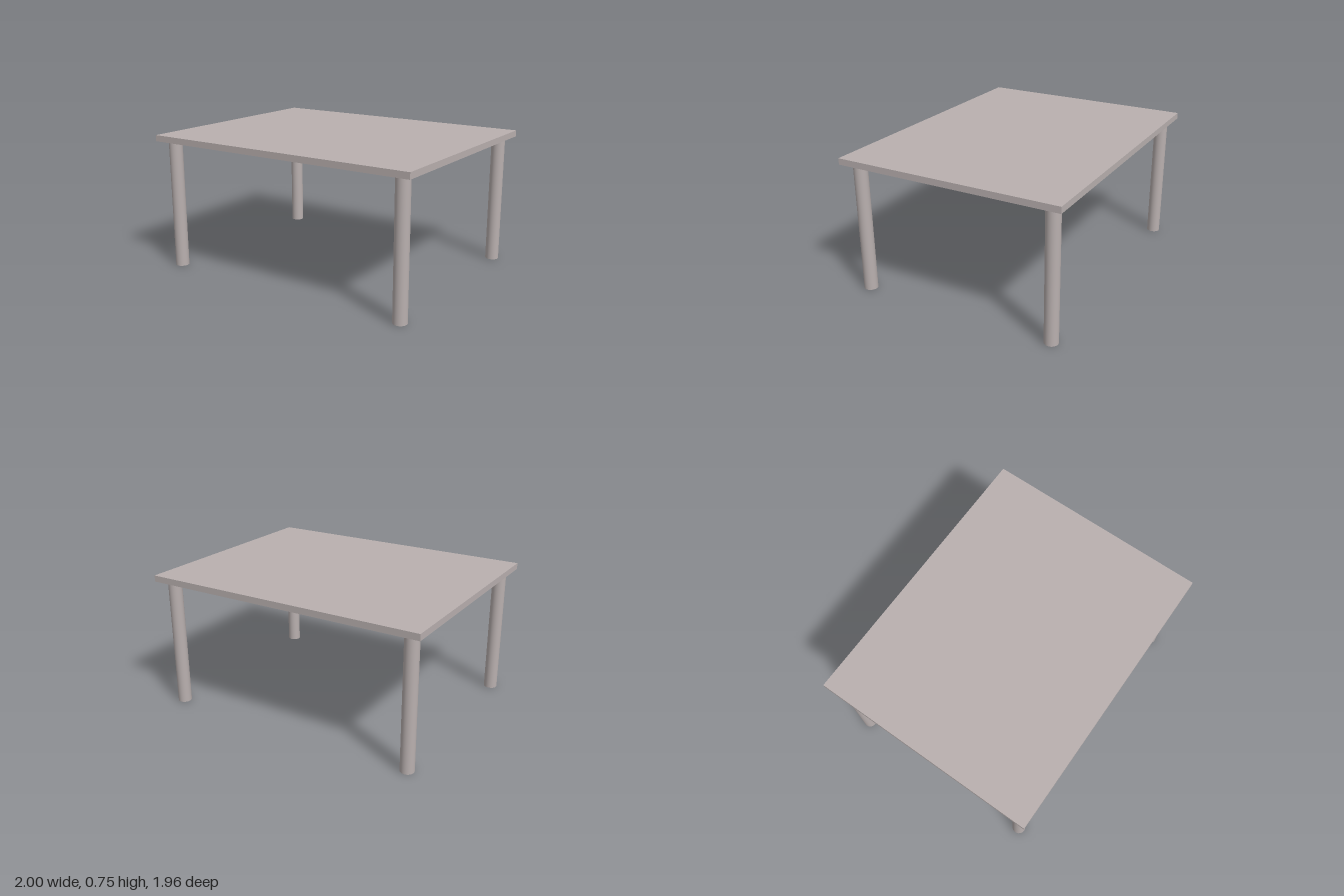
import * as THREE from 'three';

export function createModel() {
  const model = new THREE.Group();
  model.name = 'table';
  const wood = new THREE.MeshStandardMaterial({ color: 0xb9b0af });
  wood.name = 'warm grey';

  const length = 1.571, width = 1.237, height = 0.75, thickness = 0.034;
  const legRadius = 0.037, inset = 0.0735;
  const legHeight = height - thickness;

  // The whole table stands turned on the floor
  const table = new THREE.Group();
  table.name = 'turnedTable';
  table.rotation.y = -0.697;
  model.add(table);

  // Flat rectangular top
  const top = new THREE.Mesh(new THREE.BoxGeometry(length, thickness, width), wood);
  top.name = 'tableTop';
  top.position.y = height - thickness / 2;
  table.add(top);

  // Four round legs, set in from the corners
  const legGeometry = new THREE.CylinderGeometry(legRadius, legRadius, legHeight, 32);
  for (const sx of [-1, 1]) {
    for (const sz of [-1, 1]) {
      const leg = new THREE.Mesh(legGeometry, wood);
      leg.name = `${sz > 0 ? 'front' : 'back'}${sx > 0 ? 'Left' : 'Right'}Leg`;
      leg.position.set(sx * (length / 2 - inset), legHeight / 2, sz * (width / 2 - inset));
      table.add(leg);
    }
  }
  return model;
}
